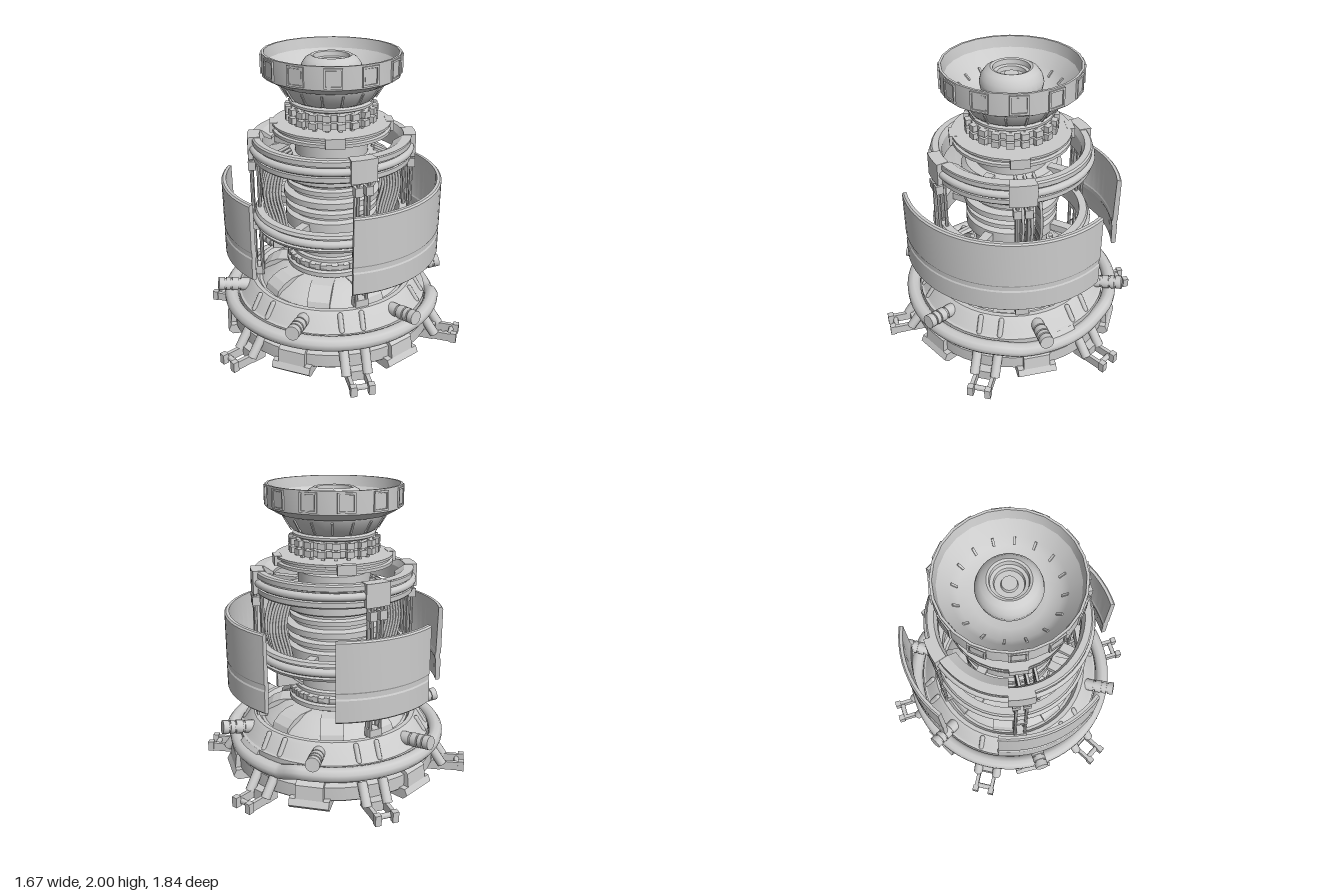
import * as THREE from 'three';
import { toCreasedNormals } from 'three/addons/utils/BufferGeometryUtils.js';

const D = Math.PI / 180;
const mat = new THREE.MeshStandardMaterial({ color: 0xcccccc, side: THREE.DoubleSide });

export function createModel() {
  const model = new THREE.Group();

  function add(name, geo, parent = model) {
    const m = new THREE.Mesh(geo, mat);
    m.name = name;
    parent.add(m);
    return m;
  }
  // revolved profile of [radius, y] pairs; outer wall runs upward
  function turn(name, pts, seg = 48) {
    const g = new THREE.LatheGeometry(pts.map(p => new THREE.Vector2(p[0], p[1])), seg);
    return add(name, toCreasedNormals(g, 0.45));
  }
  // part of a revolved closed profile, with end caps; angles from +z towards +x
  function arc(name, pts, from, to, seg = 24) {
    const v = pts.map(p => new THREE.Vector2(p[0], p[1]));
    const g = new THREE.LatheGeometry([...v, v[0].clone()], seg, from * D, (to - from) * D);
    add(name, toCreasedNormals(g, 0.45));
    for (const a of [from, to]) {
      add(name + 'End', new THREE.ShapeGeometry(new THREE.Shape(v))).rotation.y = (a - 90) * D;
    }
  }
  // repeat a part around the axis; it is built along +x
  function around(name, angles, build) {
    for (const a of angles) {
      const g = new THREE.Group();
      g.name = name;
      g.rotation.y = -a * D;
      model.add(g);
      build(g);
    }
  }
  const every = (n, start = 0) => Array.from({ length: n }, (_, i) => start + i * 360 / n);
  function box(name, w, h, d, x, y, z, parent) {
    const m = add(name, new THREE.BoxGeometry(w, h, d), parent);
    m.position.set(x, y, z);
    return m;
  }
  // flat profile in the radial plane, given a width across it
  function slab(name, pts, width, parent) {
    const s = new THREE.Shape(pts.map(p => new THREE.Vector2(...p)));
    add(name, new THREE.ExtrudeGeometry(s, { depth: width, bevelEnabled: false }).translate(0, 0, -width / 2), parent);
  }
  // cylinder between two points
  function rod(name, a, b, r, parent, seg = 12) {
    const p = new THREE.Vector3(...a), q = new THREE.Vector3(...b);
    const m = add(name, toCreasedNormals(new THREE.CylinderGeometry(r, r, p.distanceTo(q), seg), 0.7), parent);
    m.position.copy(p).add(q).multiplyScalar(0.5);
    m.quaternion.setFromUnitVectors(new THREE.Vector3(0, 1, 0), q.sub(p).normalize());
  }
  function hoop(name, r, t, y) {
    const m = add(name, new THREE.TorusGeometry(r, t, 10, 64));
    m.rotation.x = Math.PI / 2;
    m.position.y = y;
  }

  // base: hollow underside with stepped rings and a central nub
  turn('basePlate', [[0, 0.08], [0.25, 0.08], [0.28, 0], [0.3, 0], [0.355, 0.05], [0.37, 0.12], [0.41, 0.12],
    [0.42, 0.09], [0.47, 0.09], [0.48, 0.13], [0.55, 0.13], [0.57, 0.08], [0.69, 0.11], [0.7, 0.12],
    [0.7, 0.21], [0.66, 0.22], [0.66, 0.34], [0.63, 0.35]]);
  turn('baseNub', [[0, 0.02], [0.05, 0.02], [0.06, 0.05], [0.06, 0.08]], 12);
  turn('baseCone', [[0.66, 0.33], [0.63, 0.36], [0.585, 0.43], [0.56, 0.45], [0.53, 0.45], [0.51, 0.42], [0.44, 0.42]]);
  turn('hubDome', [[0.5, 0.41], [0.46, 0.45], [0.4, 0.48], [0.34, 0.52], [0.27, 0.53]]);

  // bulky blocks around the base edge
  around('edgeBlock', every(6, 3), g => {
    slab('block', [[0.6, 0.06], [0.72, 0.06], [0.75, 0.09], [0.73, 0.13], [0.6, 0.13]], 0.26, g);
    slab('blockTop', [[0.6, 0.13], [0.73, 0.13], [0.72, 0.22], [0.68, 0.25], [0.6, 0.25]], 0.18, g);
  });

  // thick hose around the base, sagging inwards on one side
  class Hose extends THREE.Curve {
    getPoint(t, target = new THREE.Vector3()) {
      const a = t * 360 - 180;
      const k = THREE.MathUtils.smoothstep(a, -52, -38) * (1 - THREE.MathUtils.smoothstep(a, 10, 24));
      const r = 0.712 - 0.03 * k;
      return target.set(r * Math.cos(a * D), 0.31 - 0.045 * k, r * Math.sin(a * D));
    }
  }
  add('baseHose', new THREE.TubeGeometry(new Hose(), 96, 0.048, 10, true));
  arc('hoseBracket', [[0.62, 0.22], [0.7, 0.22], [0.72, 0.27], [0.66, 0.34], [0.62, 0.34]], 92, 112, 4);

  // feet: clevis plates, twin pistons and the ribs above them
  around('foot', every(6, 30), g => {
    for (const s of [-1, 1]) {
      box('clevisPlate', 0.24, 0.06, 0.025, 0.8, 0.085, s * 0.058, g);
      box('clevisTip', 0.04, 0.07, 0.04, 0.9, 0.09, s * 0.058, g);
      rod('pistonSleeve', [0.77, 0.1, s * 0.07], [0.68, 0.23, s * 0.07], 0.032, g);
      rod('pistonRod', [0.7, 0.2, s * 0.07], [0.62, 0.31, s * 0.07], 0.02, g);
      const rib = add('rib', new THREE.CapsuleGeometry(0.018, 0.1, 4, 8), g);
      rib.position.set(0.605, 0.39, s * 0.07);
      rib.rotation.z = 0.55;
    }
    rod('clevisPin', [0.87, 0.085, -0.07], [0.87, 0.085, 0.07], 0.018, g);
    box('clevisBack', 0.1, 0.07, 0.14, 0.71, 0.085, 0, g);
  });

  // lamps pointing outwards
  around('lamp', every(6), g => {
    const l = new THREE.Group();
    l.name = 'lampBody';
    l.position.set(0.57, 0.39, 0);
    l.rotation.z = 0.13;
    g.add(l);
    rod('stem', [0, 0, 0], [0.22, 0, 0], 0.037, l);
    for (const [a, b, r] of [[0.01, 0.08, 0.043], [0.095, 0.14, 0.046], [0.15, 0.18, 0.046], [0.19, 0.23, 0.046]]) {
      rod('collar', [a, 0, 0], [b, 0, 0], r, l, 16);
    }
  });

  // curved wedges on top of the base
  around('baseWedge', every(8, 22.5), g => {
    slab('wedge', [[0.27, 0.4], [0.5, 0.4], [0.48, 0.46], [0.43, 0.5], [0.37, 0.525], [0.27, 0.53]], 0.15, g);
  });

  // central column
  turn('lowerColumn', [[0.27, 0.5], [0.27, 0.53], [0.31, 0.55], [0.31, 0.58], [0.29, 0.59], [0.3, 0.61], [0.3, 0.63],
    [0.27, 0.64], [0.27, 0.66], [0.25, 0.67], [0.25, 0.84], [0.31, 0.86], [0.31, 0.94], [0.27, 0.95]]);
  const fins = [];
  for (const [y, h, r] of [[0.97, 0.05, 0.31], [1.04, 0.06, 0.32], [1.12, 0.05, 0.3]]) {
    fins.push([0.27, y], [r, y + 0.01], [r, y + h - 0.01], [0.27, y + h]);
  }
  turn('finnedColumn', [[0.27, 0.94], ...fins, [0.27, 1.2], [0.32, 1.2], [0.33, 1.21], [0.33, 1.31], [0.3, 1.34],
    [0.24, 1.35], [0.24, 1.44], [0.18, 1.46], [0.18, 1.57]]);
  around('columnTooth', every(24), g => box('tooth', 0.03, 0.04, 0.035, 0.29, 0.62, 0, g));

  // cable bundles at both sides of the column
  around('cableBundle', [0, 180], g => {
    for (let i = 0; i < 6; i++) {
      for (const z of [-0.06, 0, 0.06]) {
        const o = i * 0.02;
        const c = new THREE.CatmullRomCurve3([[0.27, 1.37 - o], [0.4 - o, 1.29], [0.46 - o, 1.1], [0.43 - o, 0.93], [0.37 - o * 0.7, 0.79], [0.25, 0.68 + o * 0.8]]
          .map(p => new THREE.Vector3(p[0], p[1], z)));
        add('cable', new THREE.TubeGeometry(c, 20, 0.01, 6), g);
      }
    }
    box('cablePlate', 0.17, 0.2, 0.03, 0.325, 0.76, 0, g);
  });

  // frame rings carried by the posts
  turn('middleRing', [[0.46, 0.84], [0.51, 0.84], [0.52, 0.86], [0.49, 0.87], [0.49, 0.93], [0.52, 0.94], [0.51, 0.96], [0.46, 0.96], [0.46, 0.84]]);
  hoop('middleRingTube', 0.51, 0.027, 0.9);
  turn('upperRing', [[0.45, 1.31], [0.51, 1.31], [0.52, 1.32], [0.52, 1.35], [0.49, 1.36], [0.49, 1.41], [0.52, 1.42],
    [0.52, 1.45], [0.51, 1.46], [0.47, 1.46], [0.45, 1.42], [0.45, 1.31]]);
  hoop('upperRingTube', 0.515, 0.025, 1.385);
  for (const a of [0, 72, 180, 252]) {
    arc('ringBracket', [[0.47, 1.315], [0.55, 1.315], [0.55, 1.465], [0.47, 1.465]], a, a + 18, 4);
  }
  for (const a of [0, 180]) {
    arc('upperRingCover', [[0.4, 1.4], [0.46, 1.42], [0.52, 1.46], [0.46, 1.46], [0.4, 1.42]], a + 18, a + 72);
  }
  around('post', [9, 81, 189, 261], g => {
    for (const z of [-0.035, 0.035]) {
      for (const x of [0.485, 0.53]) rod('postRod', [x, 0.44, z], [x, 1.33, z], 0.012, g, 8);
      box('postClamp', 0.05, 0.06, 0.05, 0.525, 1.26, z, g);
    }
    box('middleClamp', 0.07, 0.04, 0.09, 0.51, 0.81, 0, g);
    box('postFoot', 0.07, 0.06, 0.09, 0.51, 0.47, 0, g);
  });
  around('spoke', every(4, 45), g => {
    box('upperSpoke', 0.2, 0.04, 0.06, 0.37, 1.34, 0, g);
    box('middleSpoke', 0.2, 0.05, 0.06, 0.38, 0.9, 0, g);
  });

  // curved armour panels with a shallow groove
  const panel = [[0.7, 0.66], [0.72, 0.66], [0.73, 0.67], [0.73, 0.81], [0.725, 0.82], [0.725, 0.85], [0.73, 0.86], [0.73, 1.17], [0.72, 1.18], [0.7, 1.18],
    [0.695, 0.86], [0.69, 0.85], [0.69, 0.82], [0.695, 0.81]];
  for (const [a, b] of [[-2, 124], [160, 215], [-113, -55]]) arc('armourPanel', panel, a, b, Math.round((b - a) / 5));

  // neck: slotted plate and two toothed rings
  turn('neckPlate', [[0.16, 1.49], [0.385, 1.49], [0.385, 1.51], [0.365, 1.515], [0.365, 1.53], [0.385, 1.535], [0.385, 1.55], [0.16, 1.55]], 32);
  around('plateLug', every(4, 9), g => box('lug', 0.05, 0.064, 0.12, 0.375, 1.52, 0, g));
  turn('neck', [[0.18, 1.54], [0.23, 1.57], [0.27, 1.57], [0.27, 1.61], [0.23, 1.61], [0.23, 1.62], [0.27, 1.62], [0.27, 1.66],
    [0.25, 1.665], [0.27, 1.675], [0.27, 1.69], [0.25, 1.7], [0.27, 1.71]], 32);
  around('neckTooth', every(20), g => {
    box('lowerTooth', 0.05, 0.04, 0.05, 0.275, 1.59, 0, g);
    box('upperTooth', 0.05, 0.04, 0.05, 0.275, 1.643, 0, g);
    box('toothLink', 0.02, 0.13, 0.02, 0.255, 1.6, 0, g);
  });

  // bowl-shaped head with framed windows
  turn('headBowl', [[0.25, 1.7], [0.27, 1.71], [0.3, 1.74], [0.335, 1.8], [0.34, 1.815], [0.36, 1.815], [0.44, 1.86], [0.44, 2],
    [0.425, 2], [0.41, 1.93], [0.34, 1.85], [0.3, 1.81], [0.22, 1.78], [0, 1.78]], 24);
  around('headWindow', every(12, 11), g => {
    box('windowPane', 0.01, 0.09, 0.08, 0.435, 1.93, 0, g);
    for (const s of [-1, 1]) {
      box('windowSide', 0.016, 0.12, 0.012, 0.437, 1.93, s * 0.05, g);
      box('windowEdge', 0.016, 0.012, 0.1, 0.437, 1.93 + s * 0.054, 0, g);
    }
  });
  around('headRib', every(16), g => {
    box('outerRib', 0.016, 0.09, 0.012, 0.308, 1.757, 0, g).rotation.z = -0.55;
    box('innerRib', 0.05, 0.02, 0.014, 0.32, 1.83, 0, g).rotation.z = 0.78;
  });
  turn('headNose', [[0.15, 1.78], [0.19, 1.83], [0.2, 1.88], [0.19, 1.92], [0.165, 1.955], [0.13, 1.975], [0.115, 1.97], [0.11, 1.94],
    [0.09, 1.935], [0.085, 1.91], [0.05, 1.91], [0.045, 1.93], [0, 1.93]], 32);

  return model;
}
